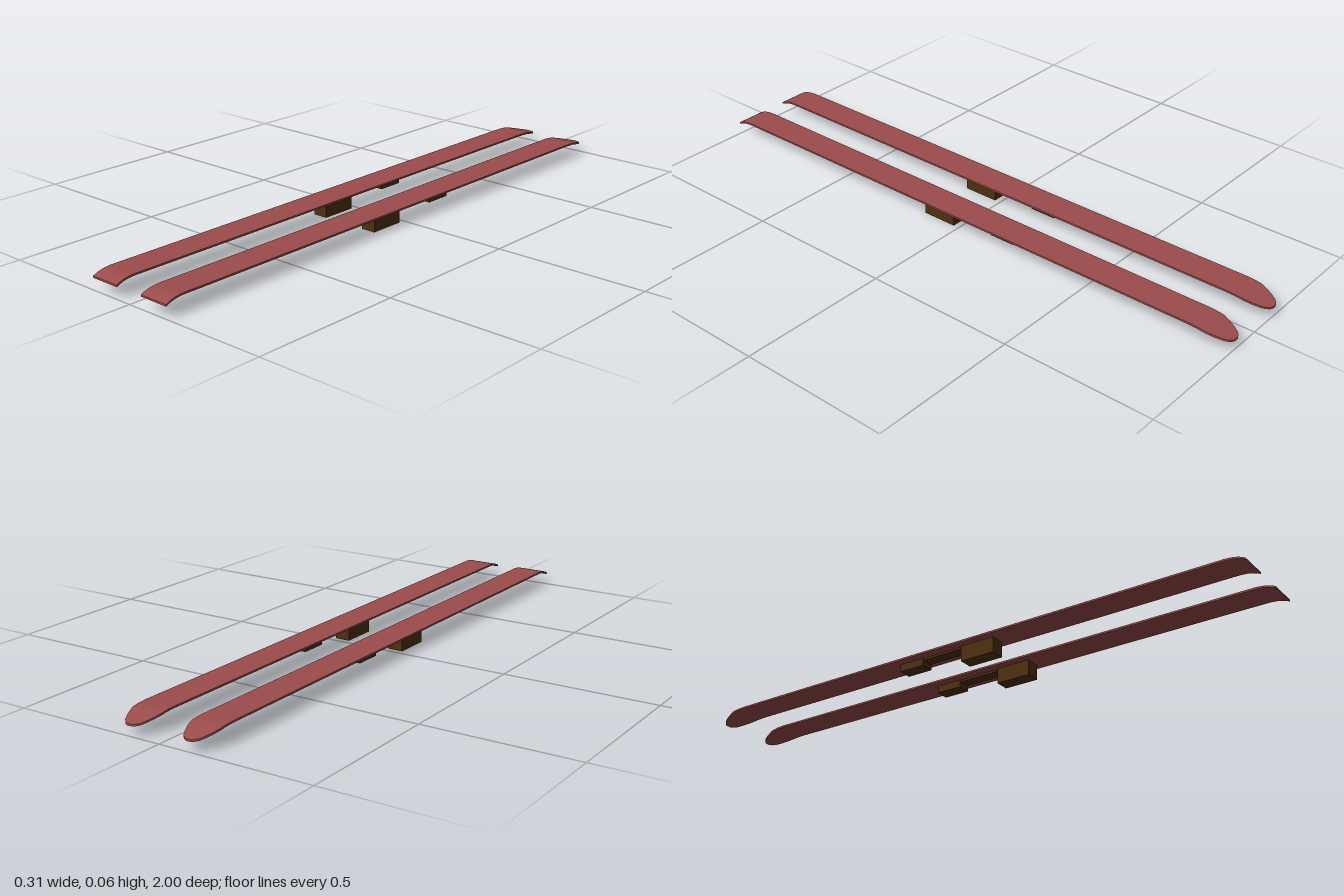
import * as THREE from 'three';

const THICK = 0.006;
// ski stations from flat end to rounded tip: [z, top height, half width]
const STATIONS = [
  [1, 0.043, 0.051], [0.99, 0.048, 0.051], [0.975, 0.053, 0.051], [0.96, 0.056, 0.051], [0.94, 0.058, 0.051],
  [-0.88, 0.058, 0.051], [-0.91, 0.056, 0.051], [-0.93, 0.053, 0.05], [-0.95, 0.048, 0.044],
  [-0.97, 0.043, 0.036], [-0.985, 0.039, 0.028], [-0.995, 0.037, 0.018], [-1, 0.036, 0.008],
];

// a segmented box whose slices are moved onto the stations
function skiGeometry() {
  const n = STATIONS.length - 1;
  const geo = new THREE.BoxGeometry(1, 1, n, 1, 1, n);
  const p = geo.attributes.position;
  for (let i = 0; i < p.count; i++) {
    const [z, top, half] = STATIONS[Math.round(n / 2 - p.getZ(i))];
    p.setXYZ(i, Math.sign(p.getX(i)) * half, p.getY(i) > 0 ? top : top - THICK, z);
  }
  geo.computeVertexNormals();
  return geo;
}

export function createModel() {
  const model = new THREE.Group();
  model.name = 'skis';
  const red = new THREE.MeshStandardMaterial({ color: 0x9c4c4c });
  const brown = new THREE.MeshStandardMaterial({ color: 0x4d3012 });
  const ski = skiGeometry();

  // binding parts hang under the board: [name, width, bottom, z min, z max]
  const bindings = [
    ['frontBinding', 0.05, 0, 0.02, 0.14],
    ['bindingPlate', 0.04, 0.045, -0.13, 0.02],
    ['rearBinding', 0.046, 0.027, -0.22, -0.13],
  ];

  for (const side of [1, -1]) {
    const group = new THREE.Group();
    group.name = side > 0 ? 'leftSki' : 'rightSki';
    group.position.x = side * 0.1015;
    const board = new THREE.Mesh(ski, red);
    board.name = 'skiBoard';
    group.add(board);
    for (const [name, width, bottom, z0, z1] of bindings) {
      const height = 0.054 - bottom;
      const part = new THREE.Mesh(new THREE.BoxGeometry(width, height, z1 - z0), brown);
      part.name = name;
      part.position.set(0, bottom + height / 2, (z0 + z1) / 2);
      group.add(part);
    }
    model.add(group);
  }
  return model;
}
